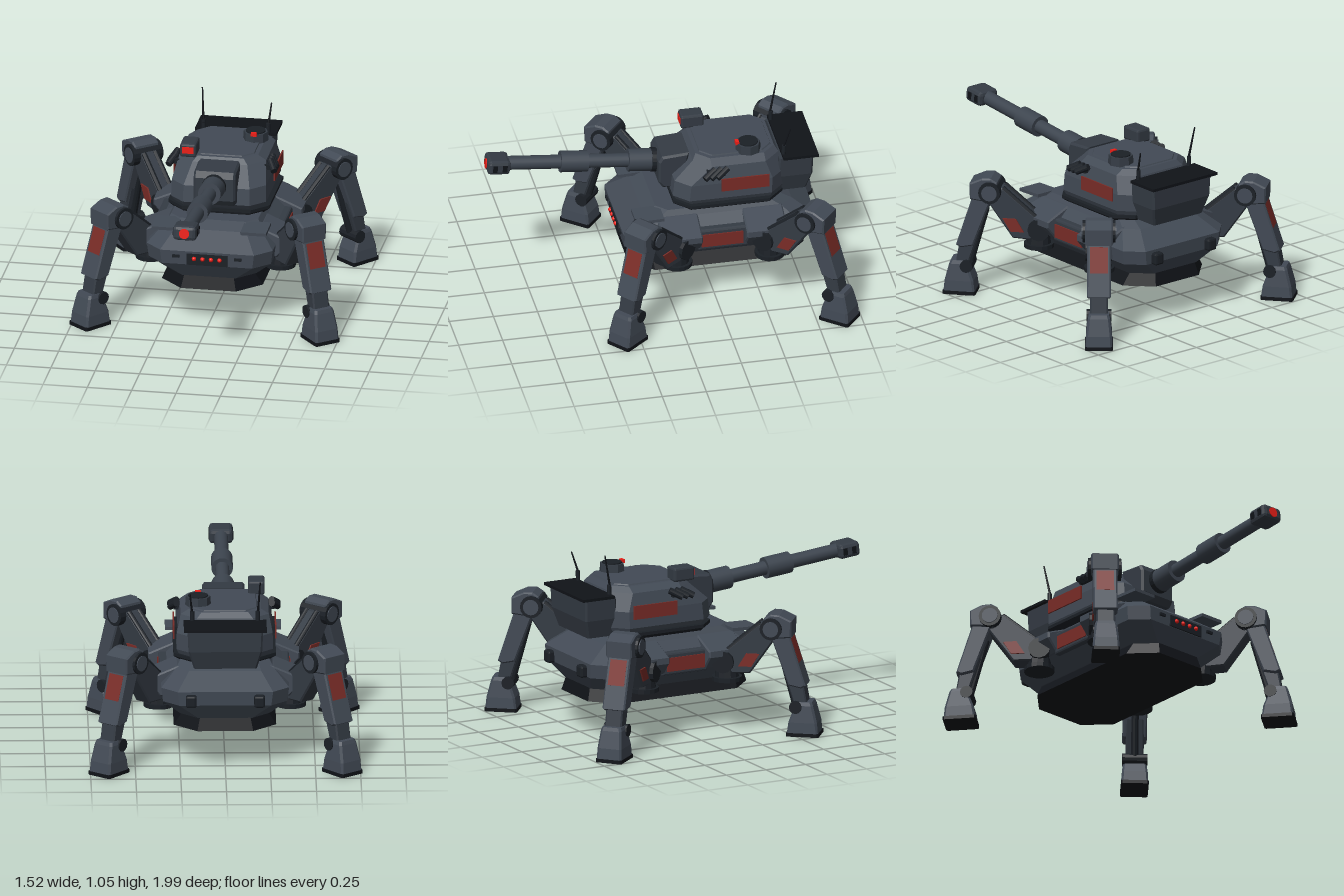
import * as THREE from 'three';
import { RoundedBoxGeometry } from 'three/addons/geometries/RoundedBoxGeometry.js';

const paint = (color, flat = true) => new THREE.MeshStandardMaterial({ color, flatShading: flat });
const STEEL = paint(0x424a55), MID = paint(0x343b44), DARK = paint(0x1b2026), BLACK = paint(0x101318);
const RUST = paint(0x7a2c27), GLOW = paint(0xee1f18);
const TUBE = paint(0x3c444e, false);
const MID_Z = -0.28; // centre of the hull along z

function add(parent, name, geometry, material, x = 0, y = 0, z = 0) {
  const mesh = new THREE.Mesh(geometry, material);
  mesh.name = name;
  mesh.position.set(x, y, z);
  parent.add(mesh);
  return mesh;
}
const box = (w, h, d) => new THREE.BoxGeometry(w, h, d);
const soft = (w, h, d, r = 0.012) => new RoundedBoxGeometry(w, h, d, 1, r);
const cyl = (r0, r1, h, n = 16) => new THREE.CylinderGeometry(r0, r1, h, n);

// Chamfered rectangles stacked upwards; level = [y, x0, x1, z0, z1, chamfer]
function loft(levels) {
  const rings = levels.map(([y, x0, x1, z0, z1, c]) => [
    [x1, z0 + c], [x1, z1 - c], [x1 - c, z1], [x0 + c, z1],
    [x0, z1 - c], [x0, z0 + c], [x0 + c, z0], [x1 - c, z0],
  ].map(([x, z]) => [x, y, z]));
  const out = [];
  const tri = (a, b, c) => out.push(...a, ...b, ...c);
  for (let k = 0; k < rings.length - 1; k++) {
    for (let i = 0; i < 8; i++) {
      const j = (i + 1) % 8, lo = rings[k], hi = rings[k + 1];
      tri(lo[i], hi[i], lo[j]);
      tri(lo[j], hi[i], hi[j]);
    }
  }
  const top = rings[rings.length - 1], bottom = rings[0];
  for (let i = 1; i < 7; i++) {
    tri(top[0], top[i + 1], top[i]);
    tri(bottom[0], bottom[i], bottom[i + 1]);
  }
  const g = new THREE.BufferGeometry();
  g.setAttribute('position', new THREE.Float32BufferAttribute(out, 3));
  g.computeVertexNormals();
  return g;
}
// Level symmetric in x and about the hull centre
const deck = (y, hx, hz, c) => [y, -hx, hx, MID_Z - hz, MID_Z + hz, c];

// Outline in x and y, extruded along z about its middle
function slab(points, depth, bevel = 0.008) {
  const shape = new THREE.Shape(points.map(([x, y]) => new THREE.Vector2(x, y)));
  const g = new THREE.ExtrudeGeometry(shape, {
    depth: depth - 2 * bevel, bevelEnabled: bevel > 0, bevelSize: bevel,
    bevelThickness: bevel, bevelOffset: -bevel, bevelSegments: 1,
  });
  return g.translate(0, 0, -depth / 2 + bevel);
}

function rod(parent, name, material, a, b, r0, r1 = r0, n = 12) {
  const from = new THREE.Vector3(...a), dir = new THREE.Vector3(...b).sub(from);
  const m = add(parent, name, cyl(r1, r0, dir.length(), n), material);
  m.position.copy(from).addScaledVector(dir, 0.5);
  m.quaternion.setFromUnitVectors(new THREE.Vector3(0, 1, 0), dir.normalize());
  return m;
}

function makeHull() {
  const hull = new THREE.Group();
  hull.name = 'hull';
  add(hull, 'bellyPlate', loft([deck(0.21, 0.285, 0.5, 0.13), deck(0.285, 0.24, 0.48, 0.1)]), BLACK);
  add(hull, 'hullBody', loft([
    deck(0.28, 0.25, 0.48, 0.1), deck(0.37, 0.345, 0.54, 0.09), deck(0.45, 0.355, 0.545, 0.09),
    deck(0.535, 0.27, 0.42, 0.07), deck(0.57, 0.245, 0.35, 0.06),
  ]), STEEL);
  // Front light bar and tow hooks
  add(hull, 'lightBar', box(0.23, 0.065, 0.02), DARK, 0, 0.405, 0.26);
  for (const x of [-0.072, -0.024, 0.024, 0.072]) add(hull, 'light', new THREE.SphereGeometry(0.013, 10, 8), GLOW, x, 0.41, 0.27);
  for (const s of [-1, 1]) {
    add(hull, 'hook', box(0.04, 0.015, 0.02), DARK, s * 0.175, 0.42, 0.265);
    add(hull, 'rearKnob', soft(0.06, 0.07, 0.05), DARK, s * 0.19, 0.4, -0.835);
    const plate = add(hull, 'frontPlate', box(0.145, 0.018, 0.16), STEEL, s * 0.25, 0.555, 0.125);
    plate.rotation.x = 0.03;
    add(hull, 'sidePod', soft(0.06, 0.13, 0.29), MID, s * 0.333, 0.42, MID_Z);
    add(hull, 'sidePanel', box(0.012, 0.078, 0.235), RUST, s * 0.363, 0.418, MID_Z + 0.005);
    // Sloped covers over the hips
    const outline = [[0.22, 0.55], [0.27, 0.54], [0.42, 0.475], [0.42, 0.44], [0.36, 0.37], [0.22, 0.37]];
    for (const e of [-1, 1]) {
      add(hull, 'hipCover', slab(outline.map(([x, y]) => [s * x, y]), 0.23), STEEL, 0, 0, MID_Z + e * 0.24);
    }
  }
  return hull;
}

function makeLeg(sx, sz) {
  const leg = new THREE.Group();
  leg.name = (sz > 0 ? 'front' : 'rear') + (sx > 0 ? 'Left' : 'Right') + 'Leg';
  leg.position.set(sx * 0.36, 0, MID_Z + sz * 0.255);
  leg.rotation.y = -Math.atan2(sz * 0.77, sx * 0.64);
  const side = -sx * sz; // local z that faces sideways
  // Hip
  add(leg, 'hipDisc', cyl(0.085, 0.085, 0.024, 16), DARK, 0.01, 0.302, 0);
  add(leg, 'hipPost', cyl(0.055, 0.07, 0.12, 12), DARK, 0.01, 0.36, 0);
  rod(leg, 'hipJoint', DARK, [0, 0.405, -0.075], [0, 0.405, 0.075], 0.062);
  // Thigh
  add(leg, 'thigh', slab([[-0.01, 0.38], [0.05, 0.34], [0.15, 0.345], [0.3, 0.56], [0.27, 0.65], [0.2, 0.63], [0, 0.46]], 0.105), MID);
  add(leg, 'thighPanel', slab([[0.085, 0.385], [0.16, 0.385], [0.205, 0.46], [0.13, 0.46]], 0.01, 0), RUST, 0, 0, side * 0.056);
  for (const e of [-1, 1]) rod(leg, 'thighRam', DARK, [0.0, 0.45, e * 0.035], [0.21, 0.63, e * 0.035], 0.016);
  // Knee
  rod(leg, 'kneeAxle', DARK, [0.275, 0.612, -0.092], [0.275, 0.612, 0.092], 0.062, 0.062, 16);
  rod(leg, 'kneeCap', STEEL, [0.275, 0.612, -0.097], [0.275, 0.612, 0.097], 0.044, 0.044, 16);
  add(leg, 'kneeArmour', slab([[0.225, 0.6], [0.235, 0.67], [0.27, 0.692], [0.32, 0.69], [0.39, 0.658], [0.388, 0.565], [0.26, 0.55]], 0.153), STEEL);
  // Shin
  add(leg, 'shinArmour', slab([[0.265, 0.58], [0.375, 0.58], [0.468, 0.29], [0.44, 0.275], [0.37, 0.29]], 0.135), STEEL);
  add(leg, 'shinStrut', slab([[0.335, 0.38], [0.44, 0.36], [0.475, 0.17], [0.405, 0.16]], 0.1), MID);
  const panel = add(leg, 'shinPanel', box(0.012, 0.145, 0.098), RUST, 0.4, 0.485, 0);
  panel.rotation.z = Math.atan2(0.093, 0.29);
  rod(leg, 'shinRam', DARK, [0.31, 0.5, 0], [0.4, 0.17, 0], 0.022);
  // Foot
  rod(leg, 'ankle', DARK, [0.41, 0.165, -0.07], [0.41, 0.165, 0.07], 0.036);
  add(leg, 'sole', loft([[0, 0.358, 0.542, -0.077, 0.077, 0.008], [0.02, 0.358, 0.542, -0.077, 0.077, 0.008]]), BLACK);
  add(leg, 'foot', loft([
    [0.015, 0.362, 0.538, -0.074, 0.074, 0.01], [0.08, 0.37, 0.532, -0.072, 0.072, 0.012],
    [0.175, 0.405, 0.508, -0.062, 0.062, 0.012], [0.195, 0.412, 0.5, -0.055, 0.055, 0.012],
  ]), STEEL);
  return leg;
}

function makeGun() {
  const gun = new THREE.Group();
  gun.name = 'gun';
  gun.position.set(0, 0.752, 0);
  gun.rotation.x = -0.1;
  const part = (name, r, z0, z1, mat = TUBE) => rod(gun, name, mat, [0, 0, z0], [0, 0, z1], r, r, 20);
  part('barrelCollar', 0.068, 0.0, 0.06, DARK);
  part('barrelRoot', 0.064, 0.04, 0.19);
  part('barrel', 0.039, 0.15, 0.9);
  part('barrelSleeve', 0.06, 0.42, 0.575);
  add(gun, 'muzzle', soft(0.132, 0.084, 0.13, 0.02), MID, 0, 0, 0.931);
  for (const s of [-1, 1]) for (const z of [0.9, 0.955]) add(gun, 'muzzleVent', box(0.006, 0.04, 0.026), BLACK, s * 0.066, 0, z);
  part('muzzleLight', 0.029, 0.98, 0.999, GLOW);
  return gun;
}

function makeTurret() {
  const turret = new THREE.Group();
  turret.name = 'turret';
  const level = (y, hx, z0, z1, c) => [y, -hx, hx, z0, z1, c];
  add(turret, 'turretRing', loft([level(0.55, 0.24, -0.62, -0.04, 0.08), level(0.582, 0.285, -0.65, -0.03, 0.09), level(0.6, 0.285, -0.65, -0.03, 0.09)]), DARK);
  add(turret, 'turretBody', loft([
    level(0.598, 0.255, -0.64, -0.05, 0.07), level(0.625, 0.268, -0.655, -0.03, 0.08), level(0.72, 0.266, -0.66, -0.04, 0.08),
    level(0.82, 0.245, -0.635, -0.15, 0.09), level(0.85, 0.2, -0.615, -0.17, 0.07),
  ]), STEEL);
  add(turret, 'roofHatch', loft([level(0.845, 0.18, -0.6, -0.19, 0.06), level(0.856, 0.175, -0.595, -0.195, 0.06)]), STEEL);
  // Gun mount
  add(turret, 'mantlet', slab([[-0.1, 0.63], [0.01, 0.635], [0.035, 0.67], [0.035, 0.8], [0.015, 0.835], [-0.14, 0.845]], 0.235, 0.012)
    .rotateY(-Math.PI / 2), MID);
  turret.add(makeGun());
  // Sight box
  add(turret, 'sight', soft(0.092, 0.08, 0.13), MID, -0.18, 0.884, -0.208);
  add(turret, 'sightLens', box(0.064, 0.038, 0.01), GLOW, -0.18, 0.888, -0.144);
  // Commander's cupola
  add(turret, 'cupola', cyl(0.068, 0.072, 0.05, 8), MID, 0.147, 0.875, -0.465);
  add(turret, 'cupolaLid', cyl(0.055, 0.055, 0.014, 20), DARK, 0.147, 0.9, -0.465);
  add(turret, 'cupolaLight', box(0.032, 0.02, 0.02), GLOW, 0.147, 0.903, -0.402);
  for (const s of [-1, 1]) {
    add(turret, 'turretPanel', box(0.008, 0.078, 0.272), RUST, s * 0.283, 0.718, -0.423);
    add(turret, 'panelMount', box(0.04, 0.04, 0.2), DARK, s * 0.262, 0.718, -0.423);
    // Smoke launchers
    for (let i = 0; i < 3; i++) {
      const z = -0.21 - i * 0.035;
      rod(turret, 'launcher', DARK, [s * 0.265, 0.815, z - 0.045], [s * 0.298, 0.778, z + 0.02], 0.019);
    }
    add(turret, 'launcherMount', box(0.06, 0.03, 0.1), DARK, s * 0.25, 0.79, -0.26);
  }
  // Rear stowage and aerials
  add(turret, 'stowageBox', loft([
    level(0.575, 0.175, -0.79, -0.62, 0.01), level(0.68, 0.205, -0.82, -0.62, 0.01), level(0.8, 0.21, -0.825, -0.63, 0.01),
  ]), MID);
  add(turret, 'stowageLid', box(0.46, 0.016, 0.2), BLACK, 0, 0.808, -0.75);
  for (const [s, top] of [[-1, 1.045], [1, 0.98]]) {
    rod(turret, 'aerialBase', DARK, [s * 0.182, 0.81, -0.66], [s * 0.182, 0.87, -0.662], 0.012);
    rod(turret, 'aerial', BLACK, [s * 0.182, 0.85, -0.655], [s * 0.195, top, -0.695], 0.007, 0.004, 8);
  }
  return turret;
}

export function createModel() {
  const model = new THREE.Group();
  model.name = 'walkerTank';
  model.add(makeHull(), makeTurret());
  for (const sx of [-1, 1]) for (const sz of [-1, 1]) model.add(makeLeg(sx, sz));
  return model;
}
